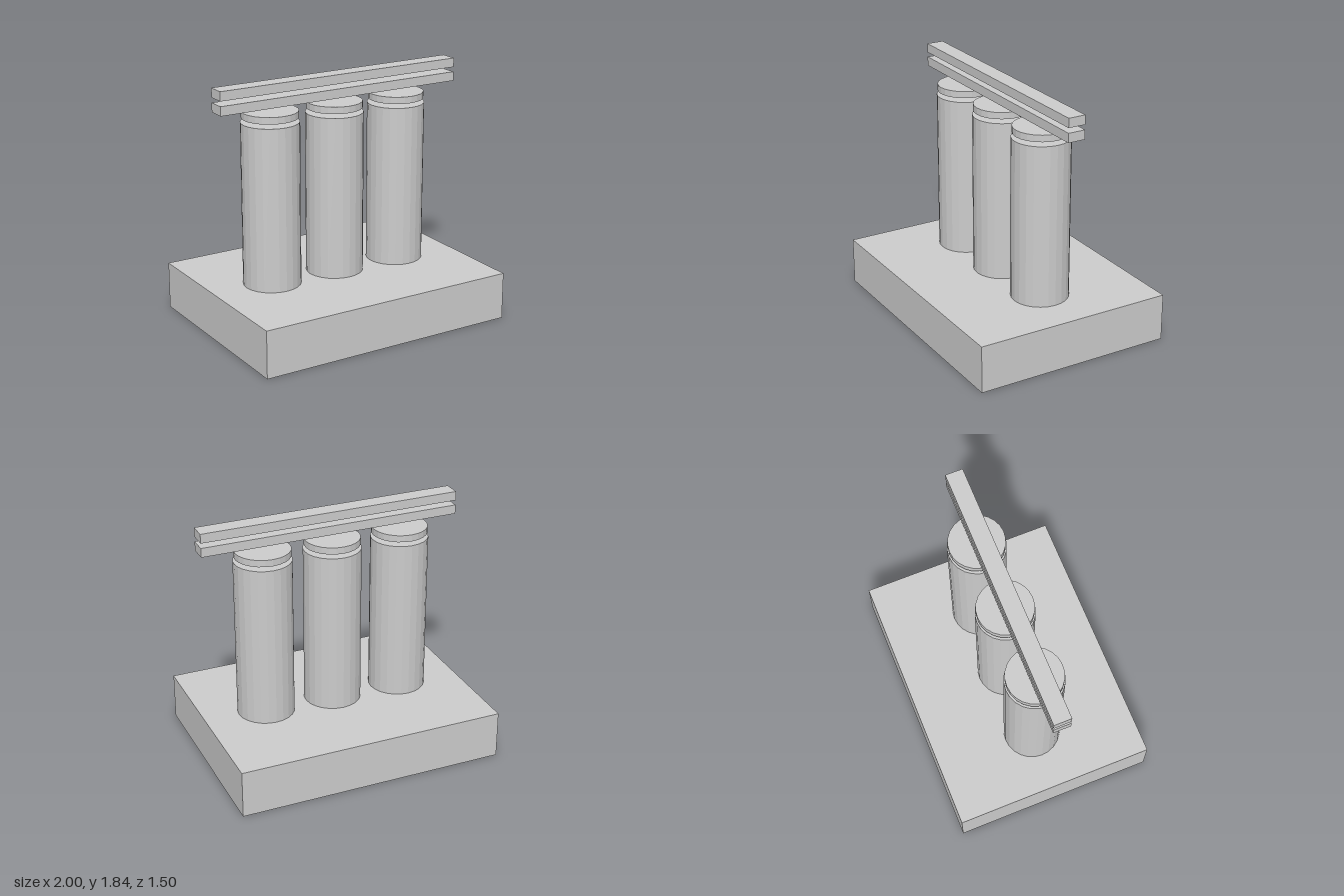
import * as THREE from 'three';

export function createModel() {
  const model = new THREE.Group();
  const stone = new THREE.MeshStandardMaterial({ color: 0xcccccc, flatShading: true });
  stone.name = 'stone grey';

  const add = (name, geometry, x, y, z) => {
    const mesh = new THREE.Mesh(geometry, stone);
    mesh.name = name;
    mesh.position.set(x, y, z);
    model.add(mesh);
  };

  // Base slab
  add('base', new THREE.BoxGeometry(2, 0.352, 1.5), 0, 0.176, 0);

  // Three columns, each with a separate disc floating above it
  const shaft = new THREE.CylinderGeometry(0.211, 0.211, 1.206, 24);
  const cap = new THREE.CylinderGeometry(0.204, 0.204, 0.05, 24);
  for (const x of [-0.53, 0, 0.53]) {
    add('column', shaft, x, 0.955, 0);
    add('columnCap', cap, x, 1.614, 0);
  }

  // Two stacked beams, slightly off centre
  const beam = new THREE.BoxGeometry(1.95, 0.068, 0.13);
  add('lowerBeam', beam, 0.017, 1.706, 0.018);
  add('upperBeam', beam, 0.017, 1.81, 0.018);

  return model;
}
